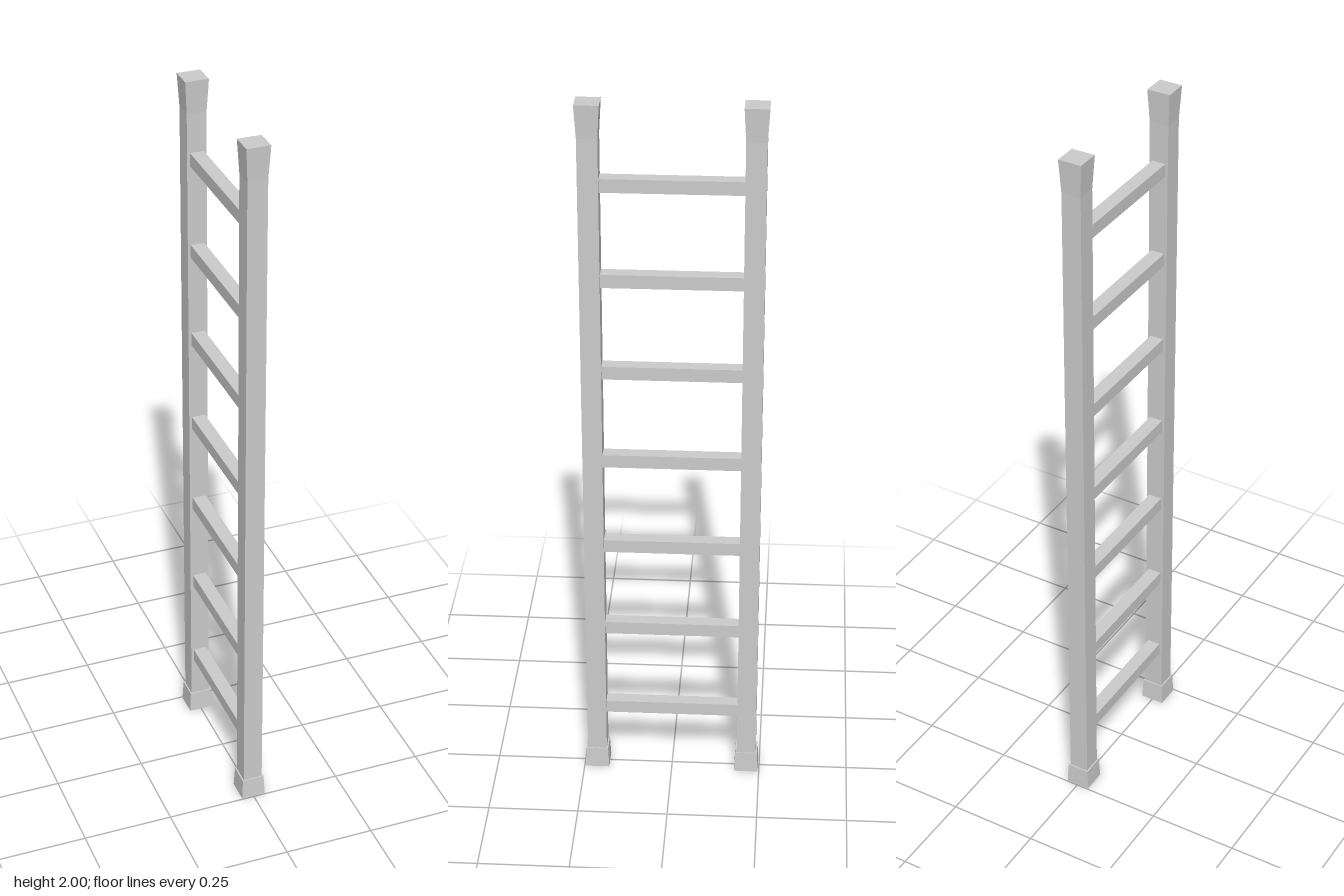
import * as THREE from 'three';

const material = new THREE.MeshStandardMaterial({ color: 0xcccccc, flatShading: true });

// Square column lofted through [y, halfWidth] levels, capped at both ends
function squareColumn(levels) {
  const pos = [], idx = [];
  for (const [y, h] of levels) pos.push(-h, y, h, h, y, h, h, y, -h, -h, y, -h);
  for (let l = 0; l < levels.length - 1; l++) {
    for (let i = 0; i < 4; i++) {
      const a = l * 4 + i, b = l * 4 + (i + 1) % 4;
      idx.push(a, b, b + 4, a, b + 4, a + 4);
    }
  }
  const t = (levels.length - 1) * 4;
  idx.push(0, 2, 1, 0, 3, 2, t, t + 1, t + 2, t, t + 2, t + 3);
  const geometry = new THREE.BufferGeometry();
  geometry.setAttribute('position', new THREE.Float32BufferAttribute(pos, 3));
  geometry.setIndex(idx);
  const flat = geometry.toNonIndexed();
  flat.computeVertexNormals();
  return flat;
}

export function createModel() {
  const group = new THREE.Group();
  const add = (name, geometry, y, z) => {
    const mesh = new THREE.Mesh(geometry, material);
    mesh.name = name;
    mesh.position.set(0, y, z);
    group.add(mesh);
  };

  // Rails with a flared top and a slightly wider tapered foot
  const rail = squareColumn([[0.03, 0.027], [1.91, 0.027], [2, 0.032]]);
  const foot = squareColumn([[0, 0.034], [0.06, 0.031]]);
  for (const [side, z] of [['front', 0.213], ['back', -0.213]]) {
    add(side + 'Rail', rail, 0, z);
    add(side + 'Foot', foot, 0, z);
  }

  // Seven evenly spaced rungs
  const rung = new THREE.BoxGeometry(0.038, 0.037, 0.4);
  for (let i = 0; i < 7; i++) add('rung' + (i + 1), rung, 0.198 + i * 0.264, 0);

  return group;
}
